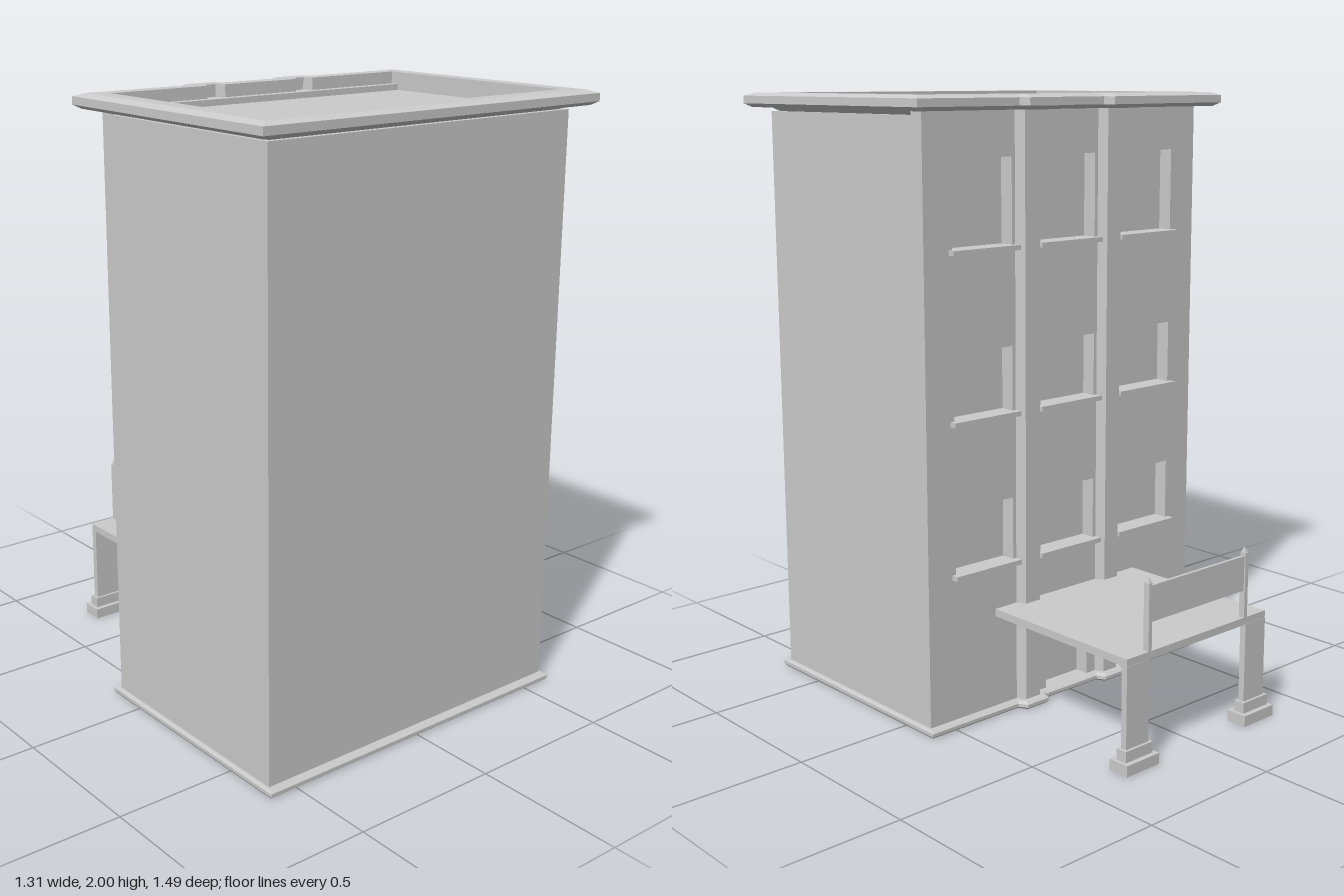
import * as THREE from 'three';

const mat = new THREE.MeshStandardMaterial({ color: 0xcccccc, flatShading: true, side: THREE.DoubleSide });
const HALF_W = 0.59, FRONT = 0.68, BACK = -0.12;
const PILASTER_X = 0.18, BUMP = 0.03, RECESS = 0.05, ROOF = 1.94;

function add(parent, name, geometry) {
  const mesh = new THREE.Mesh(geometry, mat);
  mesh.name = name;
  parent.add(mesh);
  return mesh;
}

// Box given by its min/max along each axis
function block(parent, name, x0, x1, y0, y1, z0, z1) {
  const mesh = add(parent, name, new THREE.BoxGeometry(x1 - x0, y1 - y0, z1 - z0));
  mesh.position.set((x0 + x1) / 2, (y0 + y1) / 2, (z0 + z1) / 2);
  return mesh;
}

// Building outline grown by ox / oz, stepping out around both pilasters
function outline(ox, oz) {
  const X = HALF_W + ox, zb = BACK - oz;
  const root = 0.047 + 0.59 * oz, tip = 0.031 + 0.565 * oz;
  const pts = [[X, FRONT + oz], [X, zb]];
  for (const c of [PILASTER_X, -PILASTER_X]) {
    pts.push([c + root, zb], [c + tip, zb - BUMP], [c - tip, zb - BUMP], [c - root, zb]);
  }
  pts.push([-X, zb], [-X, FRONT + oz]);
  return pts;
}

// Sweep a moulding profile of [ox, oz, y] around the outline
function moulding(profile) {
  const rings = profile.map(([ox, oz, y]) => outline(ox, oz).map(([x, z]) => [x, y, z]));
  const pos = [];
  for (let i = 0; i < rings.length - 1; i++) {
    const lo = rings[i], hi = rings[i + 1], n = lo.length;
    for (let j = 0; j < n; j++) {
      const k = (j + 1) % n;
      pos.push(...lo[j], ...lo[k], ...hi[k], ...lo[j], ...hi[k], ...hi[j]);
    }
  }
  const g = new THREE.BufferGeometry();
  g.setAttribute('position', new THREE.Float32BufferAttribute(pos, 3));
  g.computeVertexNormals();
  return g;
}

function rect(ShapeType, x0, x1, y0, y1) {
  return new ShapeType([[x0, y0], [x1, y0], [x1, y1], [x0, y1]].map(p => new THREE.Vector2(...p)));
}

export function createModel() {
  const root = new THREE.Group();
  root.name = 'townBuilding';

  // Main block; its back face shows as the window panes
  block(root, 'mainBlock', -HALF_W, HALF_W, 0, ROOF, BACK + RECESS, FRONT);

  // Rear wall with window and door openings
  const wall = rect(THREE.Shape, -HALF_W, HALF_W, 0, 1.96);
  const rows = [[0.505, 0.72], [1.0, 1.217], [1.53, 1.81]];
  const columns = [-0.36, 0, 0.36];
  for (const [y0, y1] of rows) {
    for (const x of columns) {
      wall.holes.push(rect(THREE.Path, x - 0.12, x + 0.12, y0, y1));
      block(root, 'windowSill', x - 0.135, x + 0.135, y0 - 0.008, y0 + 0.008, BACK - 0.025, BACK + RECESS);
    }
  }
  wall.holes.push(rect(THREE.Path, -0.095, 0.095, 0.025, 0.19));
  const rear = add(root, 'rearWall', new THREE.ExtrudeGeometry(wall, { depth: RECESS, bevelEnabled: false }));
  rear.position.z = BACK;

  // Tapered pilasters between the window columns
  const section = new THREE.Shape([[-0.047, 0], [0.047, 0], [0.031, BUMP], [-0.031, BUMP]].map(p => new THREE.Vector2(...p)));
  const pilaster = new THREE.ExtrudeGeometry(section, { depth: 1.96, bevelEnabled: false });
  pilaster.rotateX(-Math.PI / 2);
  for (const x of [-PILASTER_X, PILASTER_X]) {
    add(root, 'pilaster', pilaster).position.set(x, 0, BACK);
  }

  // Cornice with raised parapet, and the low plinth course
  add(root, 'cornice', moulding([
    [-0.02, -0.02, ROOF], [0, 0, 1.953], [0.045, 0.045, 1.953], [0.065, 0.065, 1.965],
    [0.065, 0.065, 1.99], [0.035, 0.035, 2], [-0.02, -0.02, 2], [-0.02, -0.02, ROOF],
  ]));
  add(root, 'baseCourse', moulding([
    [0, 0, 0], [0.008, 0.018, 0], [0.012, 0.026, 0.007], [0.012, 0.026, 0.018], [0.006, 0.016, 0.026], [-0.002, -0.002, 0.026],
  ]));

  // Entrance canopy carried on two piers
  const porch = new THREE.Group();
  porch.name = 'porch';
  root.add(porch);
  block(porch, 'canopySlab', -0.318, 0.318, 0.335, 0.36, -0.718, BACK + 0.005);
  for (const s of [-1, 1]) {
    const c = s * 0.27;
    block(porch, 'pierFoot', c - 0.07, c + 0.07, 0, 0.036, -0.745, -0.672);
    block(porch, 'pierPlinth', c - 0.058, c + 0.058, 0.036, 0.072, -0.728, -0.689);
    block(porch, 'pier', c - 0.048, c + 0.048, 0.072, 0.336, -0.719, -0.697);

    // Railing post with a small pointed cap
    const p = s * 0.22;
    block(porch, 'railPost', p - 0.007, p + 0.007, 0.36, 0.575, -0.719, -0.697);
    const cap = add(porch, 'postCap', new THREE.CylinderGeometry(0.004, 0.0125, 0.015, 4).rotateY(Math.PI / 4));
    cap.scale.x = 0.8;
    cap.position.set(p, 0.5825, -0.708);
  }
  block(porch, 'railPanel', -0.22, 0.22, 0.45, 0.565, -0.714, -0.703);

  return root;
}
